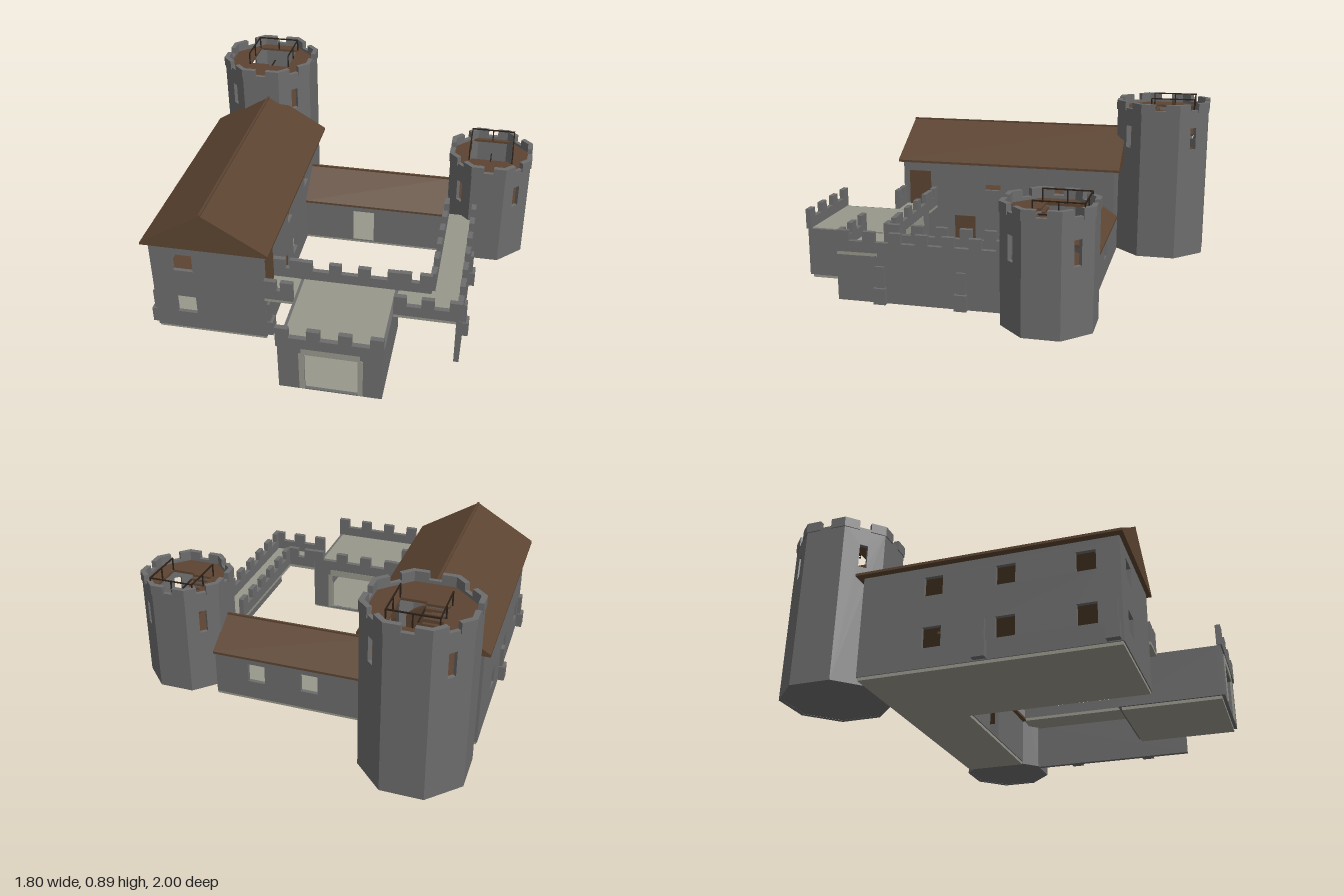
import * as THREE from 'three';

const mat = (name, color) => {
  const m = new THREE.MeshStandardMaterial({ color });
  m.name = name;
  return m;
};

export function createModel() {
  const stone = mat('stone', 0x6c6c6c);
  const paving = mat('paleStone', 0x98978c);
  const timber = mat('brownTimber', 0x5c4431);
  const dark = mat('darkRail', 0x2a2018);
  const root = new THREE.Group();
  root.name = 'castle';

  const group = (name, parent = root) => {
    const g = new THREE.Group();
    g.name = name;
    parent.add(g);
    return g;
  };
  const add = (name, parent, geo, m) => {
    const mesh = new THREE.Mesh(geo, m);
    mesh.name = name;
    parent.add(mesh);
    return mesh;
  };
  // Box given by its two extreme corners
  const box = (name, parent, m, x0, x1, y0, y1, z0, z1) => {
    const mesh = add(name, parent, new THREE.BoxGeometry(x1 - x0, y1 - y0, z1 - z0), m);
    mesh.position.set((x0 + x1) / 2, (y0 + y1) / 2, (z0 + z1) / 2);
    return mesh;
  };
  const rect = (P, x0, x1, y0, y1) => {
    const p = new P();
    p.moveTo(x0, y0);
    p.lineTo(x1, y0);
    p.lineTo(x1, y1);
    p.lineTo(x0, y1);
    p.closePath();
    return p;
  };
  // Upright wall with its outer face at (x, z), facing angle; holes are [centre, width, bottom, top]
  const wall = (name, parent, x, z, angle, w, y0, y1, holes = [], t = 0.02) => {
    const s = rect(THREE.Shape, -w / 2, w / 2, y0, y1);
    for (const [u, hw, b, c] of holes) s.holes.push(rect(THREE.Path, u - hw / 2, u + hw / 2, b, c));
    const geo = new THREE.ExtrudeGeometry(s, { depth: t, bevelEnabled: false });
    geo.translate(0, 0, -t);
    const mesh = add(name, parent, geo, stone);
    mesh.position.set(x, 0, z);
    mesh.rotation.y = angle;
    return mesh;
  };
  // Flight of solid steps rising from z0 to z1
  const stairs = (parent, x0, x1, y0, y1, z0, z1, n) => {
    const dz = (z1 - z0) / n, dy = (y1 - y0) / n;
    for (let i = 0; i < n; i++) {
      const a = z0 + i * dz, b = a + dz, top = y0 + (i + 1) * dy;
      box('step', parent, timber, x0, x1, top - 0.012, top, Math.min(a, b), Math.max(a, b));
    }
  };
  // Low parapet with merlons, centred at (x, z)
  const parapet = (parent, x, z, angle, len) => {
    const g = group('parapet', parent);
    g.position.set(x, 0, z);
    g.rotation.y = angle;
    box('parapetWall', g, stone, -len / 2, len / 2, 0.265, 0.32, -0.0125, 0.0125);
    const n = Math.max(2, Math.round((len + 0.06) / 0.125));
    for (let i = 0; i < n; i++) {
      const u = -len / 2 + 0.03 + ((len - 0.06) * i) / (n - 1);
      box('merlon', g, stone, u - 0.03, u + 0.03, 0.32, 0.37, -0.0125, 0.0125);
    }
  };
  const buttress = (parent, x, z, side) => {
    const g = group('buttress', parent);
    g.position.set(x, 0, z);
    g.scale.x = 1;
    const lower = side > 0 ? [0, 0.028] : [-0.032, 0], upper = side > 0 ? [0, 0.014] : [-0.018, 0];
    box('buttressFoot', g, stone, ...lower, 0.02, 0.1, -0.03, 0.03);
    box('buttressShaft', g, stone, ...upper, 0.1, 0.205, -0.022, 0.022);
  };
  // Gabled roof prism running along local z
  const roof = (name, parent, half, h, len) => {
    const s = new THREE.Shape([[-half, 0], [half, 0], [half, 0.012], [0, h], [-half, 0.012]]
      .map(([x, y]) => new THREE.Vector2(x, y)));
    const geo = new THREE.ExtrudeGeometry(s, { depth: len, bevelEnabled: false });
    geo.translate(0, 0, -len / 2);
    const g = group(name, parent);
    add('roofSlopes', g, geo, timber);
    box('ridge', g, timber, -0.006, 0.006, h - 0.008, h + 0.004, -len / 2, len / 2);
    return g;
  };

  // Octagonal tower with battlements, slit windows, stairs and railings
  const tower = (name, cx, cz, r, top, slit0) => {
    const g = group(name);
    g.position.set(cx, 0, cz);
    const side = 2 * r * Math.tan(Math.PI / 8), deck = top - 0.05;
    const place = (R, a) => [R * Math.sin(a), R * Math.cos(a)];
    for (let i = 0; i < 8; i++) {
      const a = (i * Math.PI) / 4;
      const [x, z] = place(r - 0.005, a);
      const w = side * (r - 0.005) / r;
      wall('towerWall', g, x, z, a, w, 0.02, top - 0.035, i % 2 ? [[0, 0.04, slit0, slit0 + 0.12]] : []);
      const [mx, mz] = place(r, a);
      for (const s of [-1, 1]) {
        const m = wall('merlon', g, mx, mz, a, side * 0.36, top - 0.05, top, [], 0.025);
        m.translateX(s * side * 0.32);
      }
    }
    const octagon = (R) => {
      const s = new THREE.Shape();
      for (let i = 0; i < 8; i++) {
        const [x, y] = place(R / Math.cos(Math.PI / 8), -(i + 0.5) * Math.PI / 4);
        i ? s.lineTo(x, y) : s.moveTo(x, y);
      }
      s.closePath();
      return s;
    };
    const slab = (n, y, m, hole) => {
      const s = octagon(r - 0.015);
      if (hole) s.holes.push(rect(THREE.Path, -0.11, 0.11, -0.06, 0.17));
      const geo = new THREE.ExtrudeGeometry(s, { depth: 0.012, bevelEnabled: false });
      geo.rotateX(-Math.PI / 2);
      add(n, g, geo, m).position.y = y;
    };
    slab('towerBase', 0.021, stone);
    slab('lowerFloor', deck - 0.26, timber);
    slab('roofDeck', deck - 0.012, timber, true);
    // Two flights with a landing between
    const mid = deck - 0.125;
    stairs(g, 0.005, 0.1, deck - 0.248, mid, 0.06, -0.07, 8);
    stairs(g, -0.105, -0.005, mid, deck, -0.07, 0.06, 8);
    box('landing', g, timber, -0.105, 0.1, mid - 0.012, mid, -0.17, -0.07);
    const rails = group('railing', g), t = 0.003, y = top + 0.018;
    for (const x of [-0.113, 0.113]) {
      box('sideRail', rails, dark, x - t, x + t, y - 2 * t, y, -0.17, 0.06);
      for (const z of [-0.17, -0.055, 0.06]) box('post', rails, dark, x - t, x + t, deck, y, z - t, z + t);
    }
    box('backRail', rails, dark, -0.113, 0.113, y - 2 * t, y, -0.173, -0.167);
    box('middlePost', rails, dark, -t, t, deck, y, -0.173, -0.167);
    box('middleRail', rails, dark, -t, t, deck - 0.03, deck - 0.024, -0.07, 0.06);
  };
  tower('tallTower', -0.63, -0.75, 0.25, 0.87, 0.62);
  tower('shortTower', 0.677, -0.36, 0.216, 0.6, 0.345);

  // Main hall
  const E = Math.PI / 2, lo = [0.11, 0.21], up = [0.365, 0.46];
  const hall = group('mainHall');
  box('hallFloor', hall, paving, -0.865, -0.315, 0, 0.02, -0.515, 0.675);
  wall('hallFront', hall, -0.59, 0.68, 0, 0.56, 0.015, 0.51, [[-0.12, 0.1, ...lo], [-0.12, 0.1, ...up]]);
  wall('hallBack', hall, -0.59, -0.52, Math.PI, 0.56, 0.015, 0.51);
  wall('hallWest', hall, -0.87, 0.08, -E, 1.2, 0.015, 0.51,
    [-0.25, 0.09, 0.45].flatMap((u) => [[u, 0.09, ...lo], [u, 0.09, ...up]]));
  wall('hallEast', hall, -0.31, 0.08, E, 1.2, 0.015, 0.51,
    [[-0.08, 0.09, ...up], [0.28, 0.09, ...up], [0.0, 0.09, ...lo]]);
  box('upperFloor', hall, timber, -0.85, -0.33, 0.25, 0.262, -0.5, 0.66);
  stairs(hall, -0.74, -0.67, 0.02, 0.25, 0.1, -0.2, 12);
  box('walkwayDoor', hall, timber, -0.312, -0.306, 0.265, 0.46, 0.52, 0.645);
  box('courtyardDoor', hall, timber, -0.312, -0.306, 0.02, 0.21, 0.26, 0.38);
  roof('hallRoof', hall, 0.312, 0.2, 1.25).position.set(-0.59, 0.512, 0.075);
  for (const z of [0.64, 0.06]) buttress(hall, -0.87, z, -1);
  buttress(hall, -0.31, 0.64, 1);

  // Back wing
  const wing = group('backWing');
  box('wingFloor', wing, paving, -0.315, 0.47, 0, 0.02, -0.515, -0.205);
  wall('wingFront', wing, 0.08, -0.2, 0, 0.78, 0.015, 0.255, [[-0.07, 0.12, 0.02, 0.21]]);
  wall('wingBack', wing, 0.08, -0.52, Math.PI, 0.78, 0.015, 0.255,
    [[0.11, 0.09, ...lo], [-0.17, 0.09, ...lo]]);
  wall('wingEnd', wing, 0.47, -0.36, E, 0.32, 0.015, 0.255);
  const wingRoof = roof('wingRoof', wing, 0.182, 0.135, 0.78);
  wingRoof.position.set(0.08, 0.25, -0.36);
  wingRoof.rotation.y = E;

  // Gatehouse
  const gate = group('gatehouse');
  box('gateFloor', gate, paving, -0.16, 0.305, 0, 0.02, 0.505, 0.975);
  for (const [z, a, u] of [[0.99, 0, 0.005], [0.49, Math.PI, -0.005]]) {
    wall('gateWall', gate, 0.07, z, a, 0.48, 0.015, 0.265, [[u, 0.25, 0.02, 0.228]]);
    parapet(gate, 0.07, z + (a ? 0.01 : -0.005), a, 0.49);
    const f = group('gateFrame', gate), d = 0.004, b = z - d, c = z + d;
    box('lintel', f, paving, -0.06, 0.21, 0.228, 0.265, b, c);
    for (const x of [-0.06, 0.21]) box('jamb', f, paving, x - 0.012, x + 0.012, 0.02, 0.23, b, c);
  }
  wall('gateWest', gate, -0.17, 0.74, -E, 0.5, 0.015, 0.265);
  wall('gateEast', gate, 0.31, 0.74, E, 0.5, 0.015, 0.265);
  box('gateRoof', gate, paving, -0.155, 0.295, 0.25, 0.268, 0.505, 0.975);

  // Wall walks over the open side passages and along the east wall
  const walk = group('curtainWall');
  for (const [x0, x1] of [[-0.31, -0.17], [0.31, 0.63]]) {
    box('walkway', walk, paving, x0, x1, 0.25, 0.266, 0.485, 0.688);
    parapet(walk, (x0 + x1) / 2, 0.676, 0, x1 - x0);
  }
  parapet(walk, -0.24, 0.497, 0, 0.14);
  parapet(walk, 0.39, 0.497, 0, 0.16);
  box('eastWalkway', walk, paving, 0.46, 0.625, 0.25, 0.2655, -0.19, 0.486);
  wall('eastWall', walk, 0.63, 0.26, E, 0.86, 0.02, 0.27, [], 0.025);
  parapet(walk, 0.6175, 0.265, E, 0.845);
  parapet(walk, 0.4725, 0.15, E, 0.67);
  for (const z of [0.47, 0.07]) buttress(walk, 0.63, z, 1);

  return root;
}
